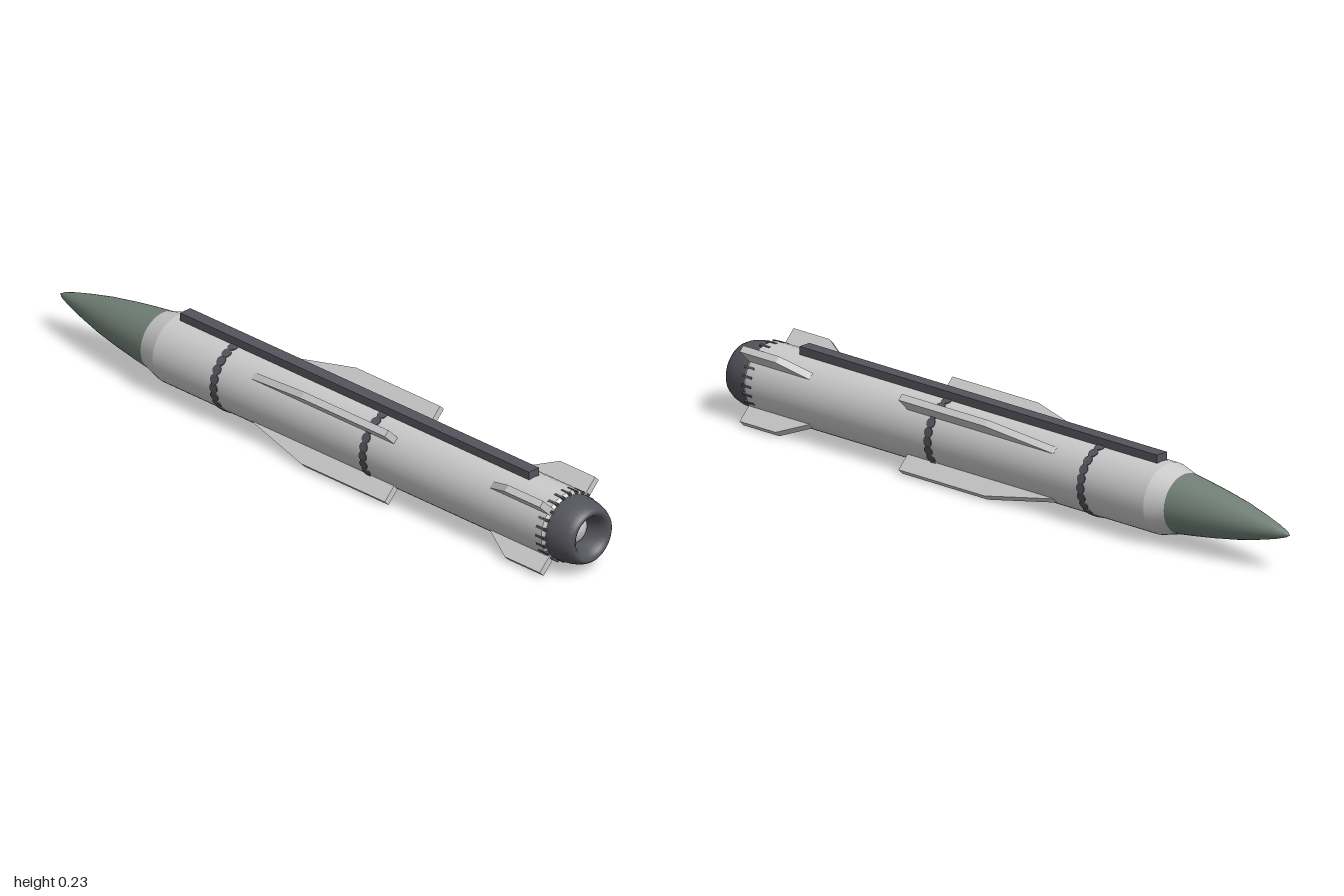
import * as THREE from 'three';
import { toCreasedNormals } from 'three/addons/utils/BufferGeometryUtils.js';

const R = 0.1;          // body radius
const AXIS_Y = 0.1125;  // height of the long axis

export function createModel() {
  const root = new THREE.Group();
  root.name = 'missile';
  const axis = new THREE.Group();
  axis.name = 'fuselage';
  axis.position.y = AXIS_Y;
  root.add(axis);

  const light = new THREE.MeshStandardMaterial({ color: 0xcccccc });
  const dark = new THREE.MeshStandardMaterial({ color: 0x54545c });
  const green = new THREE.MeshStandardMaterial({ color: 0x718077 });

  const add = (name, geometry, material, parent = axis) => {
    const mesh = new THREE.Mesh(geometry, material);
    mesh.name = name;
    parent.add(mesh);
    return mesh;
  };

  // Solid of revolution about z, from [radius, z] pairs in order of rising z
  const turned = (pairs) =>
    new THREE.LatheGeometry(pairs.map(([r, z]) => new THREE.Vector2(r, z)), 32).rotateX(Math.PI / 2);

  // Repeats a part around the long axis
  const ring = (name, count, offset, make) => {
    const group = new THREE.Group();
    group.name = name;
    for (let i = 0; i < count; i++) {
      const part = make();
      part.rotation.z = offset + (i / count) * Math.PI * 2;
      group.add(part);
    }
    axis.add(group);
  };

  // Nose cone, body tube and exhaust nozzle
  add('noseCone', turned([[0, -1], [0.009, -0.985], [0.021, -0.95], [0.037, -0.89], [0.053, -0.82],
    [0.067, -0.74], [0.077, -0.67], [0.084, -0.615]]), green);
  add('bodyTube', toCreasedNormals(turned([[0, -0.615], [0.084, -0.615], [R, -0.555], [R, 0.905], [0.093, 0.915]]), 0.22), light);
  add('nozzle', turned([[0.094, 0.9], [0.094, 0.925], [0.091, 0.955], [0.085, 0.98], [0.077, 0.996], [0.068, 1],
    [0.058, 0.993], [0.049, 0.975], [0.044, 0.95], [0.044, 0.92]]), dark);
  add('exhaustPlug', turned([[0.046, 0.93], [0.036, 0.943], [0.02, 0.952], [0, 0.955]]), light);

  // Spine rail along the top
  const rail = add('spineRail', new THREE.BoxGeometry(0.038, 0.04, 1.31), dark);
  rail.position.set(0, 0.1015, 0.125);

  // Flat fin lying in the radial plane, with a swept front edge
  const finGeometry = (front, corner, back) => {
    const half = 0.01, tip = 0.149, base = 0.085;
    const shape = new THREE.Shape([[base, front], [R, front], [tip, corner], [tip, back], [base, back]]
      .map(([x, z]) => new THREE.Vector2(x, z)));
    return new THREE.ExtrudeGeometry(shape, { depth: half * 2, bevelEnabled: false })
      .translate(0, 0, -half).rotateX(Math.PI / 2);
  };
  const wing = finGeometry(-0.205, 0.015, 0.33);
  const tailFin = finGeometry(0.69, 0.78, 0.912);
  const holder = new THREE.Group();
  ring('wings', 4, Math.PI / 4, () => add('wing', wing, light, holder));
  ring('tailFins', 4, Math.PI / 4, () => add('tailFin', tailFin, light, holder));

  // Bands of round studs, set almost flush with the skin
  const stud = new THREE.CylinderGeometry(0.0145, 0.0145, 0.02, 12).translate(0, R - 0.008, 0);
  for (const [name, z] of [['frontStudBand', -0.325], ['rearStudBand', 0.235]]) {
    const geometry = stud.clone().translate(0, 0, z);
    ring(name, 24, 0, () => add('stud', geometry, dark, holder));
  }

  // Narrow teeth reaching forward from the nozzle
  const tooth = new THREE.BoxGeometry(0.007, 0.012, 0.035).translate(0, R - 0.005, 0.9);
  ring('nozzleTeeth', 24, 0, () => add('tooth', tooth, dark, holder));

  return root;
}
